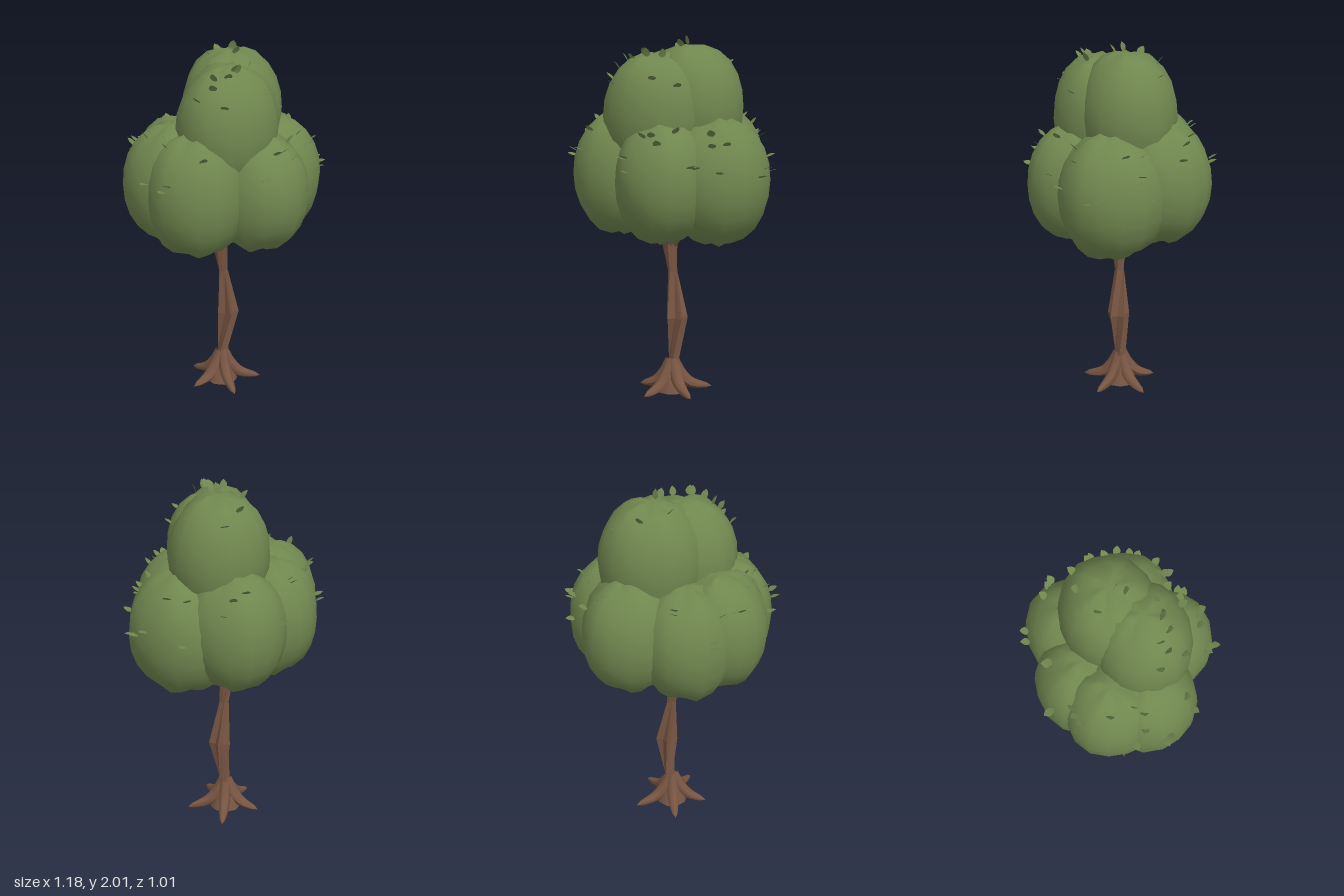
import * as THREE from 'three';
import { mergeVertices } from 'three/addons/utils/BufferGeometryUtils.js';

const foliage = new THREE.MeshStandardMaterial({ color: 0x70874f });
foliage.name = 'foliage green';
const leafGreen = new THREE.MeshStandardMaterial({ color: 0x70874f, side: THREE.DoubleSide });
leafGreen.name = 'leaf green';
const bark = new THREE.MeshStandardMaterial({ color: 0x795643 });
bark.name = 'bark brown';

const V = (x, y, z) => new THREE.Vector3(x, y, z);
const rad = THREE.MathUtils.degToRad;

// Foliage clumps: centre, radii, and leaves as [count, middle azimuth, azimuth spread, middle elevation]
const clumps = [
  { name: 'upperFrontClump', c: V(-0.065, 1.58, 0.095), r: V(0.285, 0.34, 0.255), leaves: [10, 115, 65, 50] },
  { name: 'upperBackClump', c: V(0.11, 1.62, -0.02), r: V(0.28, 0.34, 0.26), leaves: [5, 0, 150, 62] },
  { name: 'frontClump', c: V(0.015, 1.24, 0.23), r: V(0.255, 0.33, 0.285), leaves: [9, 85, 50, 35] },
  { name: 'leftClump', c: V(0.275, 1.235, 0.1), r: V(0.285, 0.34, 0.295), leaves: [12, 25, 60, 28] },
  { name: 'backLeftClump', c: V(0.215, 1.275, -0.18), r: V(0.265, 0.33, 0.265), leaves: [5, -50, 45, 35] },
  { name: 'backClump', c: V(-0.075, 1.25, -0.215), r: V(0.265, 0.33, 0.27), leaves: [5, -105, 40, 32] },
  { name: 'backRightClump', c: V(-0.255, 1.27, -0.13), r: V(0.255, 0.33, 0.26), leaves: [4, -145, 45, 35] },
  { name: 'rightClump', c: V(-0.27, 1.26, 0.055), r: V(0.27, 0.34, 0.265), leaves: [7, 170, 55, 36] },
];

// Slightly boxy, lumpy, fluted ellipsoid with smooth normals
function clumpGeometry(c, r, seed) {
  let g = new THREE.SphereGeometry(1, 16, 12);
  g.deleteAttribute('uv');
  g.deleteAttribute('normal');
  g = mergeVertices(g, 1e-4);
  const p = g.attributes.position;
  const power = 2.15;
  for (let i = 0; i < p.count; i++) {
    const d = V().fromBufferAttribute(p, i);
    const flat = Math.hypot(d.x, d.z);
    const flute = Math.cos(5 * Math.atan2(d.z, d.x) + seed * 1.7) * flat * (1 - flat);
    const boxy = (Math.abs(d.x) ** power + Math.abs(d.y) ** power + Math.abs(d.z) ** power) ** (-1 / power);
    const k = boxy * (1 + 0.14 * flute + 0.02 * Math.sin(4 * d.x + seed) * Math.cos(5 * d.z + 2 * seed));
    d.multiplyScalar(k).multiply(r).add(c);
    p.setXYZ(i, d.x, d.y, d.z);
  }
  g.computeVertexNormals();
  return g;
}

// Pointed oval leaf, curling along its length, growing along +y
function leafGeometry() {
  const s = new THREE.Shape();
  s.moveTo(0, 0);
  s.bezierCurveTo(0.028, 0.008, 0.03, 0.032, 0, 0.054);
  s.bezierCurveTo(-0.03, 0.032, -0.028, 0.008, 0, 0);
  const g = new THREE.ShapeGeometry(s, 5);
  const p = g.attributes.position;
  for (let i = 0; i < p.count; i++) p.setZ(i, 3 * p.getY(i) ** 2);
  g.computeVertexNormals();
  return g;
}

// Round tube along a path, with the radius tapering by a rule and kept above the ground
function taperedTube(points, radius, sides, steps) {
  const path = new THREE.CatmullRomCurve3(points);
  const g = new THREE.TubeGeometry(path, steps, 1, sides, false);
  const p = g.attributes.position;
  for (let i = 0; i < p.count; i++) {
    const t = Math.floor(i / (sides + 1)) / steps;
    const centre = path.getPointAt(t);
    const v = V().fromBufferAttribute(p, i).sub(centre).multiplyScalar(radius(t)).add(centre);
    p.setXYZ(i, v.x, Math.max(0, v.y), v.z);
  }
  g.computeVertexNormals();
  return g;
}

// Five-ridged trunk, twisting at both ends: rings of [y, centre x, centre z, ridge radius, groove radius, turn]
function trunkGeometry() {
  const rings = [[0.96, -0.01, 0, 0.085, 0.08, 0.8], [0.88, -0.012, 0, 0.048, 0.043, 0.6], [0.7, 0.005, 0.005, 0.027, 0.022, 0.2],
    [0.44, 0.03, 0.018, 0.064, 0.036, 0], [0.2, 0.015, 0, 0.032, 0.026, -0.7], [0.08, 0, 0, 0.05, 0.05, -1.2]];
  const last = rings.length - 1;
  const g = new THREE.CylinderGeometry(1, 1, 1, 10, last, true).toNonIndexed();
  const p = g.attributes.position;
  for (let i = 0; i < p.count; i++) {
    const [y, cx, cz, ridge, groove, turn] = rings[Math.round((0.5 - p.getY(i)) * last)];
    const a = Math.atan2(p.getX(i), p.getZ(i));
    const r = Math.round(a / rad(36)) % 2 ? ridge : groove;
    p.setXYZ(i, cx + r * Math.sin(a + turn), y, cz + r * Math.cos(a + turn));
  }
  g.computeVertexNormals();
  return g;
}

export function createModel() {
  const tree = new THREE.Group();
  tree.name = 'tree';
  const add = (name, geometry, material, parent = tree) => {
    const m = new THREE.Mesh(geometry, material);
    m.name = name;
    parent.add(m);
    return m;
  };

  // Trunk and flared foot
  add('trunk', trunkGeometry(), bark);
  add('trunkFoot', new THREE.CylinderGeometry(0.034, 0.09, 0.175, 9).translate(0, 0.0925, 0), bark);

  // Five spreading, pointed roots
  [0.222, 0.22, 0.202, 0.205, 0.228].forEach((reach, i) => {
    const a = rad(48 + 72 * i);
    const at = (r, y) => V(r * Math.cos(a), y, r * Math.sin(a));
    add('root', taperedTube([at(0.01, 0.19), at(0.045, 0.11), at(0.1, 0.05), at(reach, 0.016)],
      t => (t === 1 ? 0.001 : 0.028 + 0.014 * Math.sin(t * Math.PI) - 0.018 * t), 7, 10), bark);
  });

  // Branches fanning from the trunk into the lower clumps
  for (const { c } of clumps.slice(2)) {
    add('branch', taperedTube([V(-0.01, 0.83, 0), V(c.x * 0.22 - 0.01, 0.93, c.z * 0.22), V(c.x * 0.7, 1.12, c.z * 0.7)],
      t => 0.028 + 0.008 * t, 6, 5), bark);
  }

  // Clumps with their leaves standing out from the surface
  const leaf = leafGeometry();
  clumps.forEach(({ name, c, r, leaves: [count, azimuth, spread, elevation] }, n) => {
    const group = new THREE.Group();
    group.name = name;
    tree.add(group);
    add('foliageClump', clumpGeometry(c, r, n + 1), foliage, group);
    for (let i = 0; i < count; i++) {
      const a = rad(azimuth + spread * Math.sin(i * 2.4 + n));
      const e = rad(elevation + 22 * Math.cos(i * 1.7 + n));
      const d = V(Math.cos(e) * Math.cos(a), Math.sin(e), Math.cos(e) * Math.sin(a));
      const out = d.clone().divide(r).normalize();
      const grow = out.clone().add(V(0.25 * Math.sin(i * 2.4), 0.3, 0.25 * Math.cos(i * 2.4))).normalize();
      const face = V(out.z, 0.2 * Math.sin(i * 1.9 + n), -out.x).cross(grow).normalize();
      const m = add('leaf', leaf, leafGreen, group);
      m.position.copy(d.multiply(r).add(c));
      m.quaternion.setFromRotationMatrix(new THREE.Matrix4().makeBasis(grow.clone().cross(face), grow, face));
    }
  });
  return tree;
}
